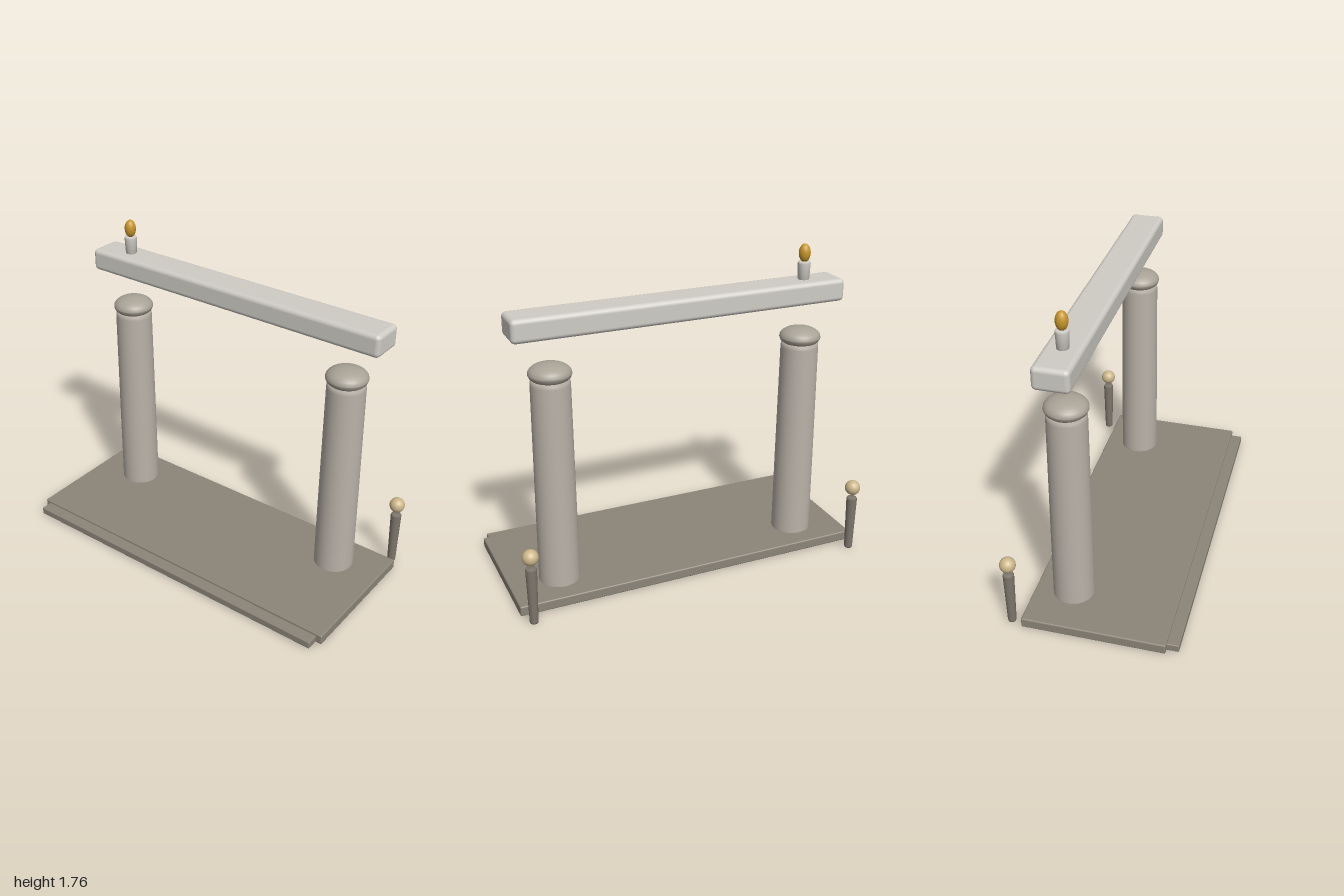
import * as THREE from 'three';
import { RoundedBoxGeometry } from 'three/addons/geometries/RoundedBoxGeometry.js';

const mat = (color) => new THREE.MeshStandardMaterial({ color });

export function createModel() {
  const model = new THREE.Group();
  const paleStone = mat(0xcfccc6);
  const columnStone = mat(0xb9b2a8);
  const capStone = mat(0xa9a397);
  const darkStone = mat(0x8c8578);
  const postStone = mat(0x7d766c);
  const tan = mat(0xcdb88c);
  const gold = mat(0xc8962a);

  const add = (name, geometry, material, x, y, z, parent = model) => {
    const mesh = new THREE.Mesh(geometry, material);
    mesh.name = name;
    mesh.position.set(x, y, z);
    parent.add(mesh);
    return mesh;
  };
  // Box given by its lower and upper corners
  const box = (name, a, b, radius, material) =>
    add(name, new RoundedBoxGeometry(b[0] - a[0], b[1] - a[1], b[2] - a[2], 3, radius), material,
      (a[0] + b[0]) / 2, (a[1] + b[1]) / 2, (a[2] + b[2]) / 2);
  const lathe = (points, sides) =>
    new THREE.LatheGeometry(points.map(([r, y]) => new THREE.Vector2(r, y)), sides);

  // Ground slab, front step and the inset panel underneath
  box('baseSlab', [-1, 0.005, -0.37], [1, 0.062, 0.41], 0.008, darkStone);
  box('frontStep', [-0.97, 0.005, 0.3], [0.965, 0.048, 0.475], 0.006, darkStone);
  add('undersidePanel', new THREE.BoxGeometry(0.84, 0.01, 0.45), mat(0x8a7f63), 0.03, 0.009, 0.01);

  // Columns with domed caps
  const columnProfile = [[0, 0.003], [0.085, 0.003], [0.111, 0.02], [0.111, 0.07],
    [0.109, 0.5], [0.104, 1.19], [0.102, 1.207], [0.094, 1.22], [0, 1.22]];
  const capProfile = [[0, 1.218], [0.096, 1.218], [0.106, 1.227], [0.113, 1.243], [0.113, 1.248]];
  for (let i = 1; i <= 8; i++) {
    const a = (i / 8) * Math.PI / 2;
    capProfile.push([0.113 * Math.cos(a), 1.248 + 0.054 * Math.sin(a)]);
  }
  for (const side of [-1, 1]) {
    const column = new THREE.Group();
    column.name = side < 0 ? 'rightColumn' : 'leftColumn';
    column.position.set(side * 0.72, 0, -0.162);
    add('shaft', lathe(columnProfile, 40), columnStone, 0, 0, 0, column);
    add('cap', lathe(capProfile, 40), capStone, 0, 0, 0, column);
    model.add(column);
  }

  // Floating lintel
  box('lintel', [-0.93, 1.448, -0.26], [0.93, 1.572, -0.07], 0.025, paleStone);

  // Candle and flame on the lintel
  add('candle', lathe([[0, 1.56], [0.03, 1.56], [0.035, 1.66], [0.031, 1.67], [0, 1.67]], 24),
    paleStone, -0.722, 0, -0.165);
  add('flame', new THREE.SphereGeometry(1, 20, 14), gold, -0.722, 1.715, -0.165)
    .scale.set(0.032, 0.05, 0.032);

  // Rear corner posts with hovering globes
  const postProfile = [[0, 0], [0.021, 0], [0.023, 0.008], [0.03, 0.316], [0.026, 0.325], [0, 0.325]];
  for (const x of [-0.957, 0.948]) {
    const post = new THREE.Group();
    post.name = x < 0 ? 'rightPost' : 'leftPost';
    post.position.set(x, 0, -0.435);
    add('postShaft', lathe(postProfile, 20), postStone, 0, 0, 0, post);
    add('globe', new THREE.SphereGeometry(0.043, 20, 14), tan, 0, 0.386, 0, post);
    model.add(post);
  }
  return model;
}
